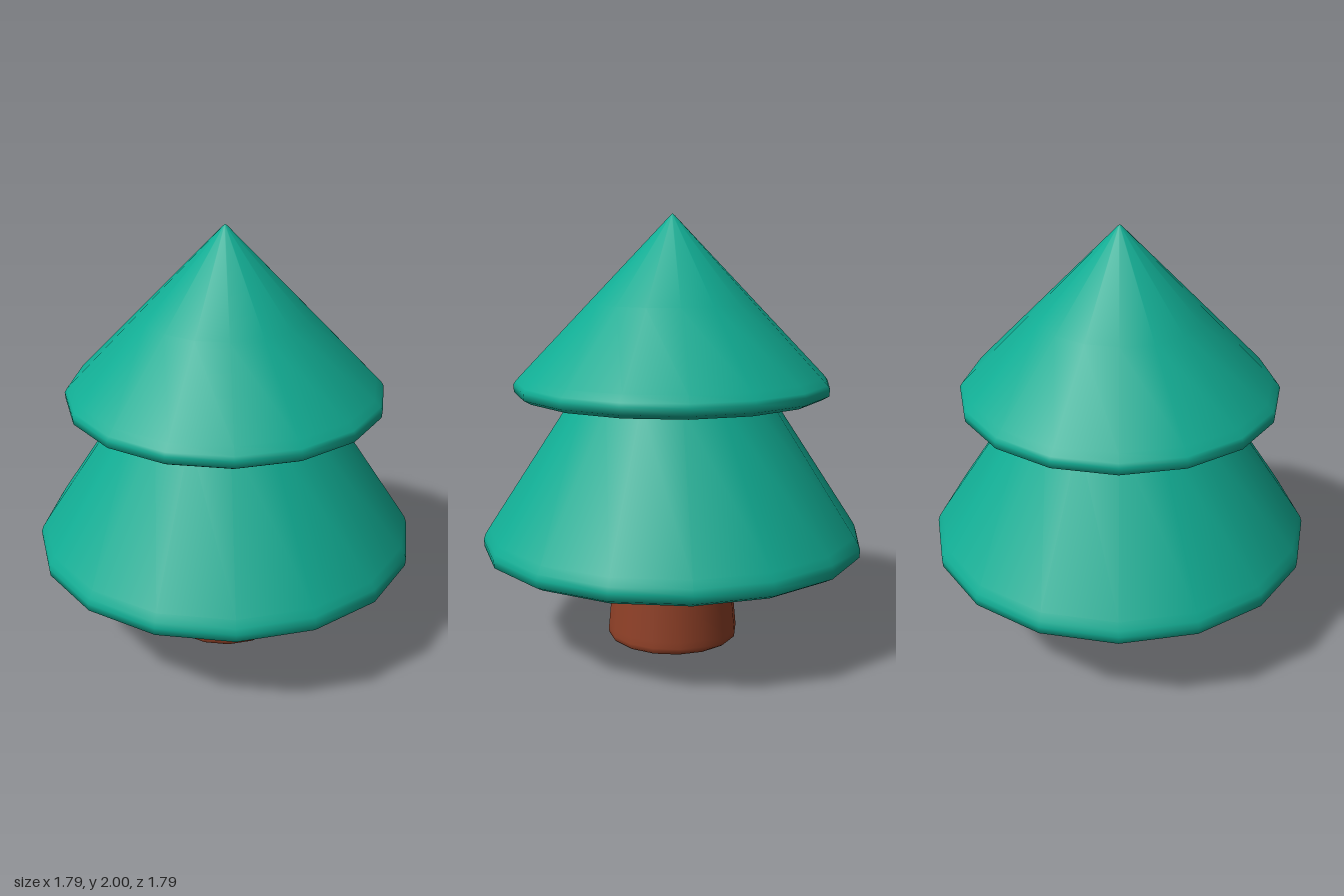
import * as THREE from 'three';

const SIDES = 16;

export function createModel() {
  const tree = new THREE.Group();
  tree.name = 'tree';

  const foliage = new THREE.MeshStandardMaterial({ color: 0x11ac93 });
  foliage.name = 'foliage green';
  const bark = new THREE.MeshStandardMaterial({ color: 0x8f4027 });
  bark.name = 'bark brown';

  // Smooth turned wall plus a flat base disc with its own sharp edge
  function turned(name, profile, material) {
    const part = new THREE.Group();
    part.name = name;
    const [r, y] = profile[0];
    const add = (label, points) => {
      const pts = points.map(([px, py]) => new THREE.Vector2(px, py));
      const mesh = new THREE.Mesh(new THREE.LatheGeometry(pts, SIDES), material);
      mesh.name = label;
      part.add(mesh);
    };
    add(name + 'Wall', profile);
    add(name + 'Base', [[0, y], [r, y]]);
    tree.add(part);
  }

  // Trunk, slightly flared toward the ground with a softened foot
  turned('trunk', [
    [0.295, 0], [0.308, 0.01], [0.31, 0.03], [0.307, 0.06], [0.272, 0.44],
  ], bark);

  // Lower tier: wide skirt with a rounded rim
  turned('lowerFoliage', [
    [0.855, 0.435], [0.892, 0.455], [0.895, 0.49], [0.887, 0.515], [0.867, 0.548], [0.455, 1.18],
  ], foliage);

  // Upper tier: pointed cone with the same rim
  turned('upperFoliage', [
    [0.7, 1.173], [0.735, 1.192], [0.738, 1.225], [0.728, 1.242], [0.7, 1.272],
    [0.386, 1.6], [0.012, 1.99], [0, 2],
  ], foliage);

  return tree;
}
